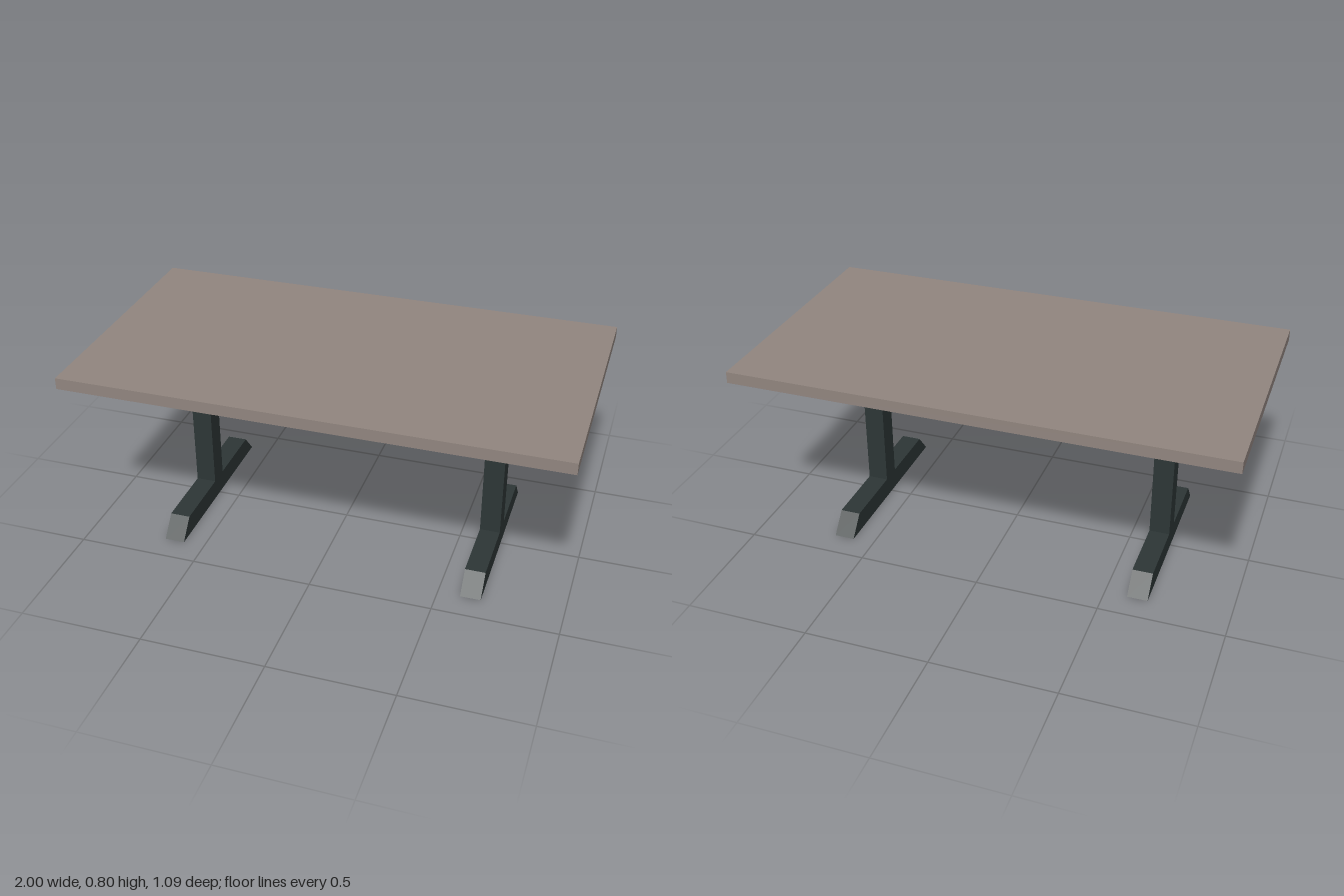
import * as THREE from 'three';

export function createModel() {
  const table = new THREE.Group();
  table.name = 'table';
  const wood = new THREE.MeshStandardMaterial({ name: 'greyBrownTop', color: 0x91857f });
  const metal = new THREE.MeshStandardMaterial({ name: 'darkMetal', color: 0x2d3636 });

  const addPart = (parent, name, geometry, material, y = 0) => {
    const mesh = new THREE.Mesh(geometry, material);
    mesh.name = name;
    mesh.position.y = y;
    parent.add(mesh);
  };
  const post = 0.083, footHeight = 0.083, topBottom = 0.748, plateHeight = 0.012;

  // Tabletop slab
  addPart(table, 'tabletop', new THREE.BoxGeometry(2, 0.047, 1.086), wood, topBottom + 0.0235);

  // Foot: a trapezoid profile along z, extruded across x
  const profile = new THREE.Shape([
    new THREE.Vector2(-0.392, 0), new THREE.Vector2(0.392, 0),
    new THREE.Vector2(0.322, footHeight), new THREE.Vector2(-0.322, footHeight),
  ]);
  const footGeometry = new THREE.ExtrudeGeometry(profile, { depth: post, bevelEnabled: false })
    .translate(0, 0, -post / 2).rotateY(Math.PI / 2);

  // Two T-shaped legs
  const columnHeight = topBottom - plateHeight - footHeight;
  for (const side of [-1, 1]) {
    const leg = new THREE.Group();
    leg.name = side > 0 ? 'leftLeg' : 'rightLeg';
    leg.position.x = side * 0.632;
    addPart(leg, 'foot', footGeometry, metal);
    addPart(leg, 'column', new THREE.BoxGeometry(post, columnHeight, post + 0.002), metal, footHeight + columnHeight / 2);
    addPart(leg, 'mountingPlate', new THREE.BoxGeometry(0.16, plateHeight, 0.55), metal, topBottom - plateHeight / 2);
    table.add(leg);
  }
  return table;
}
